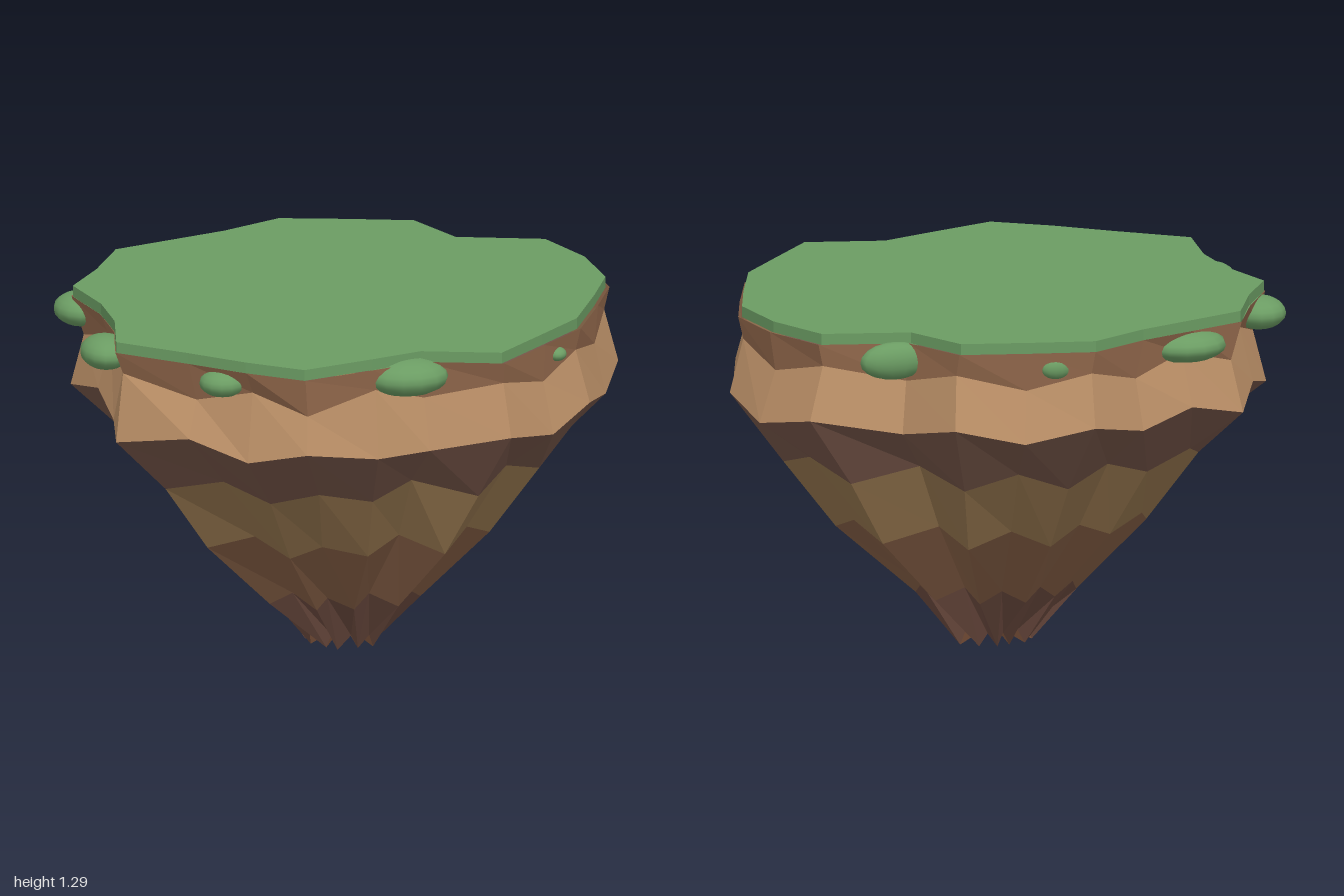
import * as THREE from 'three';

// Plan outline of the island as [x, z], one point per column
const OUTLINE = [
  [0.95, -0.02], [0.87, 0.2], [0.76, 0.47], [0.6, 0.65], [0.42, 0.85], [0.14, 0.78],
  [-0.05, 0.85], [-0.31, 0.94], [-0.5, 0.81], [-0.68, 0.66], [-0.91, 0.48], [-0.87, 0.22],
  [-0.88, 0], [-0.94, -0.24], [-0.82, -0.43], [-0.71, -0.66], [-0.5, -0.74], [-0.29, -0.82],
  [-0.07, -0.94], [0.16, -0.89], [0.4, -0.83], [0.51, -0.6], [0.82, -0.52], [0.92, -0.28],
];
const N = OUTLINE.length;

// Rock rings from top to bottom: height, outline scale, zigzag height, sideways jitter, x shift
const RINGS = [
  { y: 1.262, scale: 1.01, zig: 0, jitter: 0, shift: 0.005 },
  { y: 1.15, scale: 0.98, zig: 0.03, jitter: 0.008, shift: 0.015 },
  { y: 0.96, scale: 1.03, zig: 0.027, jitter: 0.006, shift: 0.02 },
  { y: 0.75, scale: 0.81, zig: -0.03, jitter: 0.012, shift: 0.02 },
  { y: 0.495, scale: 0.61, zig: -0.03, jitter: 0.014, shift: 0.02 },
  { y: 0.225, scale: 0.32, zig: -0.025, jitter: 0.014, shift: 0 },
  { y: 0.03, scale: 0.135, zig: 0.025, jitter: 0.014, shift: 0 },
];

const BANDS = [
  ['upperSoil', 0x9a6e50], ['sandyLayer', 0xbd9168], ['darkLayer', 0x755548],
  ['ochreLayer', 0x97774f], ['lowerRock', 0x876046], ['rockTip', 0x6e4c40],
];

// Bushes: position, then half sizes
const BUSHES = [
  [0.09, 1.21, 0.78, 0.15, 0.068, 0.12],
  [-0.565, 1.2, 0.71, 0.085, 0.05, 0.085],
  [-0.91, 1.2, 0.255, 0.09, 0.06, 0.12],
  [-0.9, 1.2, -0.29, 0.1, 0.06, 0.115],
  [-0.49, 1.2, -0.69, 0.15, 0.06, 0.13],
  [0.57, 1.2, -0.595, 0.13, 0.068, 0.055],
  [0.67, 1.2, 0.565, 0.035, 0.025, 0.04],
  [0.06, 1.2, -0.89, 0.06, 0.04, 0.032],
];

function seeded(seed) {
  return () => {
    seed = (seed * 16807) % 2147483647;
    return (seed / 2147483647) * 2 - 1;
  };
}

function ringPoints(ring, rand) {
  return OUTLINE.map(([x, z], i) => {
    // the main ledge swaps its zigzag along part of the front
    const swap = ring.scale > 1.02 && i > 5 && i < 11 ? -1 : 1;
    const up = (i % 2 ? -1 : 1) * swap;
    return new THREE.Vector3(
      x * ring.scale + ring.shift + rand() * ring.jitter,
      ring.y + up * ring.zig,
      z * ring.scale + rand() * ring.jitter,
    );
  });
}

function facetMesh(name, points, color) {
  const geometry = new THREE.BufferGeometry().setFromPoints(points);
  geometry.computeVertexNormals();
  const material = new THREE.MeshStandardMaterial({ color, flatShading: true, side: THREE.DoubleSide });
  const mesh = new THREE.Mesh(geometry, material);
  mesh.name = name;
  return mesh;
}

export function createModel() {
  const island = new THREE.Group();
  island.name = 'floatingIsland';

  // Faceted rock, one mesh per coloured layer
  const rand = seeded(4211);
  const rings = RINGS.map((ring) => ringPoints(ring, rand));
  BANDS.forEach(([name, color], r) => {
    const points = [];
    for (let i = 0; i < N; i++) {
      const j = (i + 1) % N;
      const [ta, tb, ba, bb] = [rings[r][i], rings[r][j], rings[r + 1][i], rings[r + 1][j]];
      points.push(ta, tb, ba, tb, bb, ba);
    }
    island.add(facetMesh(name, points, color));
  });

  // Recessed underside closing the tip
  const bottom = rings[RINGS.length - 1];
  const centre = new THREE.Vector3(0, 0.06, 0);
  const under = bottom.flatMap((p, i) => [centre, p, bottom[(i + 1) % N]]);
  island.add(facetMesh('underside', under, 0x8a5c42));

  // Grass slab
  const shape = new THREE.Shape(OUTLINE.map(([x, z]) => new THREE.Vector2(x, -z)));
  const slab = new THREE.ExtrudeGeometry(shape, { depth: 0.04, bevelEnabled: false });
  slab.rotateX(-Math.PI / 2);
  const green = new THREE.MeshStandardMaterial({ color: 0x6b9c63 });
  const grass = new THREE.Mesh(slab, green);
  grass.name = 'grassTop';
  grass.position.y = 1.26;
  island.add(grass);

  // Bushes tucked under the rim
  const bushes = new THREE.Group();
  bushes.name = 'bushes';
  const ball = new THREE.SphereGeometry(1, 14, 10);
  for (const [x, y, z, sx, sy, sz] of BUSHES) {
    const bush = new THREE.Mesh(ball, green);
    bush.name = 'bush';
    bush.position.set(x, y, z);
    bush.scale.set(sx, sy, sz);
    bushes.add(bush);
  }
  island.add(bushes);
  return island;
}
